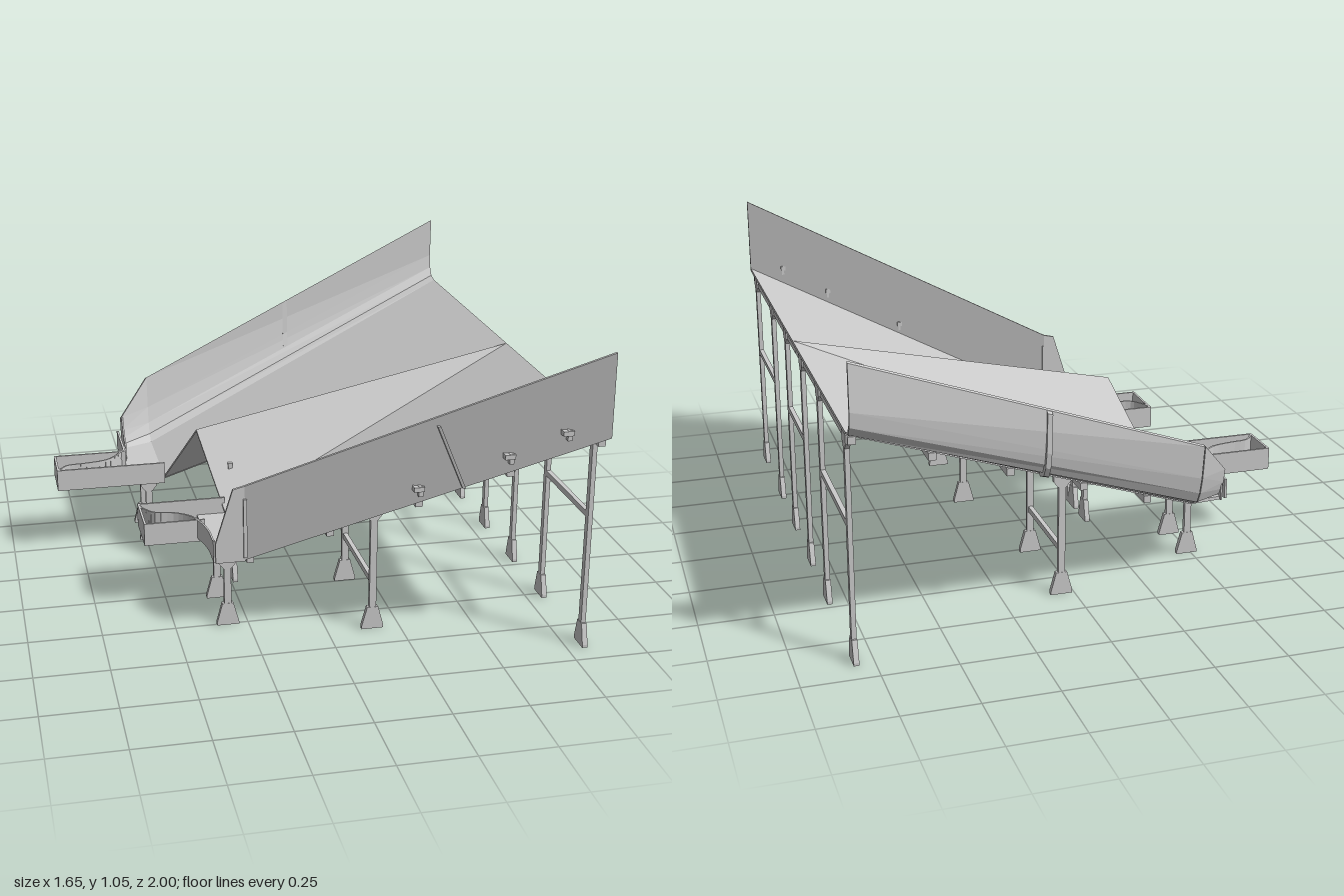
import * as THREE from 'three';

const mat = new THREE.MeshStandardMaterial({ color: 0xcccccc, flatShading: true, side: THREE.DoubleSide });

export function createModel() {
  const root = new THREE.Group();
  const add = (name, geo, parent = root) => {
    const m = new THREE.Mesh(geo, mat);
    m.name = name;
    parent.add(m);
    return m;
  };

  // Plate: polygon in space, thickened along an offset
  const plate = (name, pts, off, parent = root) => {
    let a = pts.map(p => new THREE.Vector3(...p));
    const o = new THREE.Vector3(...off);
    const n = new THREE.Vector3();
    for (let i = 1; i < a.length - 1; i++)
      n.add(a[i].clone().sub(a[0]).cross(a[i + 1].clone().sub(a[0])));
    if (n.dot(o) > 0) a.reverse();
    const b = a.map(p => p.clone().add(o));
    const v = [];
    const tri = (...t) => t.forEach(p => v.push(p.x, p.y, p.z));
    for (let i = 1; i < a.length - 1; i++) {
      tri(a[0], a[i], a[i + 1]);
      tri(b[0], b[i + 1], b[i]);
    }
    a.forEach((p, i) => {
      const j = (i + 1) % a.length;
      tri(p, b[i], b[j]);
      tri(p, b[j], a[j]);
    });
    const g = new THREE.BufferGeometry();
    g.setAttribute('position', new THREE.Float32BufferAttribute(v, 3));
    g.computeVertexNormals();
    return add(name, g, parent);
  };
  const box = (name, w, h, d, x, y, z, parent = root) => {
    const m = add(name, new THREE.BoxGeometry(w, h, d), parent);
    m.position.set(x, y, z);
    return m;
  };

  // Heights of the two sloping halves and of the central ridge
  const frontY = x => 0.275 + 0.463 * (x + 0.27);
  const backY = x => 0.78 - 0.408 * (0.82 - x);
  const ridgeY = x => 0.78 - 0.2155 * (0.82 - x);
  const frontIn = x => 0.2 * (0.82 - x) / 1.09;
  const backIn = x => -0.23 * (0.82 - x) / 1.25;
  const frontOut = x => 0.56 + 0.43 * (x + 0.27) / 1.09;
  const down = [0, -0.012, 0];

  // Sloping decks
  plate('frontDeck', [[0.82, 0.78, 0], [0.82, 0.78, 0.99], [-0.27, 0.275, 0.56], [-0.27, 0.275, 0.2]], down);
  plate('backDeck', [[0.82, 0.78, 0], [0.82, 0.78, -0.92], [-0.43, 0.27, -0.6], [-0.43, 0.27, -0.23]], down);

  // Central ridge, open underneath
  const peak = [-0.34, 0.53, 0], tip = [0.82, 0.78, 0];
  plate('frontRidgePanel', [tip, peak, [-0.27, 0.275, 0.2]], [0, -0.008, 0]);
  plate('backRidgePanel', [tip, peak, [-0.43, 0.27, -0.23]], [0, -0.008, 0]);
  for (const x of [0.3, 0.05, -0.22]) {
    for (const [zf, yf] of [[frontIn, frontY], [backIn, backY]]) {
      const t = [x, ridgeY(x) - 0.012, 0], e = [x, yf(x) - 0.012, zf(x)];
      plate('ridgeRafter', [t, e, [x + 0.025, e[1], e[2]], [x + 0.025, t[1], 0]], [0, -0.025, 0]);
    }
  }

  // Cross beams below the decks
  for (const x of [0.8, 0.54, 0.27, 0, -0.25]) {
    const zf = [frontIn(x), frontOut(x) - 0.01];
    const zb = [backIn(x), -0.645 - 0.256 * (x + 0.27)];
    for (const [y, [p, q]] of [[frontY(x), zf], [backY(x), zb]])
      box('crossBeam', 0.025, 0.025, Math.abs(q - p), x, y - 0.024, (p + q) / 2);
  }

  // Upright front wall with its cut-down low end
  plate('frontWall', [[0.82, 0.77, 0.99], [0.82, 1.05, 0.99], [-0.27, 0.53, 0.56], [-0.27, 0.265, 0.56]], [0, 0, 0.01]);
  plate('frontWallEnd', [[-0.27, 0.53, 0.56], [-0.31, 0.52, 0.56], [-0.37, 0.33, 0.56], [-0.37, 0.26, 0.56], [-0.27, 0.26, 0.56]], [0, 0, 0.01]);
  plate('wallRib', [[0.31, 0.78, 0.79], [0.32, 0.78, 0.794], [0.4, 0.575, 0.825], [0.39, 0.575, 0.821]], [0, 0, 0.022]);
  box('wallPost', 0.012, 0.21, 0.02, -0.27, 0.38, 0.568);
  for (const [x, y] of [[0.26, 0.555], [0.525, 0.685], [0.69, 0.775]]) {
    box('bracketPlate', 0.035, 0.016, 0.03, x, y + 0.008, frontOut(x) + 0.015);
    box('bracketPin', 0.015, 0.035, 0.024, x + 0.006, y, frontOut(x) + 0.014);
  }

  // Back wall: curved section swept from the high end round the low corner
  const sections = [
    [0.82, [[-0.92, 0.78], [-0.958, 0.79], [-0.98, 0.82], [-0.988, 0.87], [-0.985, 1.02]]],
    [-0.43, [[-0.6, 0.27], [-0.64, 0.29], [-0.66, 0.33], [-0.675, 0.39], [-0.69, 0.51]]],
    [-0.545, [[-0.55, 0.27], [-0.57, 0.28], [-0.58, 0.3], [-0.59, 0.33], [-0.6, 0.38]]],
  ].map(([x, p]) => p.map(([z, y]) => [x, y, z]));
  const sweep = (name, s, t, off) => {
    const g = new THREE.Group();
    g.name = name;
    root.add(g);
    for (let i = 0; i < s.length - 1; i++)
      plate(name + 'Strip', [s[i], s[i + 1], t[i + 1], t[i]], off, g);
  };
  sweep('backWall', sections[0], sections[1], [0, -0.004, -0.01]);
  sweep('backCornerWall', sections[1], sections[2], [-0.004, -0.004, -0.008]);
  const between = f => sections[0].map((p, i) => p.map((c, k) => c + (sections[1][i][k] - c) * f));
  sweep('backWallRib', between(0.52), between(0.535), [0, -0.012, -0.022]);

  // Flat landings at the low ends
  plate('frontLanding', [[-0.27, 0.272, 0.17], [-0.27, 0.272, 0.56], [-0.37, 0.272, 0.56], [-0.37, 0.272, 0.17]], down);
  plate('backLanding', [[-0.43, 0.27, -0.21], [-0.43, 0.27, -0.6], [-0.545, 0.27, -0.59], [-0.565, 0.27, -0.36], [-0.565, 0.27, -0.21]], down);

  // Outlet troughs
  const trough = (name, x0, x1, xo, z0, z1, outer) => {
    const g = new THREE.Group();
    g.name = name;
    root.add(g);
    const inner = outer === z0 ? z1 : z0, t = 0.008;
    box('troughFloor', x1 - x0, 0.012, z1 - z0, (x0 + x1) / 2, 0.256, (z0 + z1) / 2, g);
    box('troughEnd', t, 0.08, z1 - z0, x0 + t / 2, 0.29, (z0 + z1) / 2, g);
    box('troughInnerSide', x1 - x0, 0.08, t, (x0 + x1) / 2, 0.29, inner, g);
    box('troughOuterSide', xo - x0, 0.08, t, (x0 + xo) / 2, 0.29, outer, g);
  };
  trough('frontTrough', -0.58, -0.27, -0.37, 0.17, 0.35, 0.35);
  trough('backTrough', -0.83, -0.43, -0.565, -0.36, -0.21, -0.36);

  // Curved deflectors leading from the landings into the troughs
  const deflector = (name, pts, topStart) => {
    const g = new THREE.Group();
    g.name = name;
    root.add(g);
    const c = new THREE.CatmullRomCurve3(pts.map(([x, z]) => new THREE.Vector3(x, 0.26, z))).getPoints(24);
    const top = i => Math.max(0.33, topStart - 0.01 * i);
    for (let i = 0; i < 24; i++) {
      const p = c[i], q = c[i + 1];
      const n = new THREE.Vector3(q.z - p.z, 0, p.x - q.x).setLength(0.006);
      plate('deflectorStrip', [[p.x, 0.26, p.z], [q.x, 0.26, q.z], [q.x, top(i + 1), q.z], [p.x, top(i), p.z]], n.toArray(), g);
    }
  };
  deflector('frontDeflector', [[-0.37, 0.56], [-0.37, 0.45], [-0.385, 0.37], [-0.41, 0.31], [-0.46, 0.27], [-0.53, 0.25], [-0.555, 0.22], [-0.575, 0.18]], 0.34);
  deflector('backDeflector', [[-0.545, -0.6], [-0.55, -0.5], [-0.555, -0.42], [-0.585, -0.35], [-0.64, -0.29], [-0.72, -0.27], [-0.79, -0.26], [-0.825, -0.22]], 0.38);
  box('backEndWall', 0.008, 0.07, 0.23, -0.562, 0.295, -0.475);

  // Legs: flared foot, slim post and rounded head plate
  const footShape = new THREE.Shape([[-0.038, 0], [0.038, 0], [0.038, 0.01], [0.019, 0.08], [-0.019, 0.08], [-0.038, 0.01]]
    .map(p => new THREE.Vector2(...p)));
  const footGeo = new THREE.ExtrudeGeometry(footShape, { depth: 0.018, bevelEnabled: false }).translate(0, 0, -0.009);
  const headShape = new THREE.Shape([[-0.014, -0.055], [0.014, -0.055], [0.03, -0.035], [0.03, 0], [-0.03, 0], [-0.03, -0.035]]
    .map(p => new THREE.Vector2(...p)));
  const headGeo = new THREE.ExtrudeGeometry(headShape, { depth: 0.016, bevelEnabled: false }).translate(0, 0, -0.008);
  const leg = (x, z, h, turned) => {
    const g = new THREE.Group();
    g.name = 'leg';
    add('foot', footGeo, g);
    add('head', headGeo, g).position.y = h;
    box('post', 0.024, h - 0.1, 0.016, 0, (h - 0.1) / 2 + 0.07, 0, g);
    g.position.set(x, 0, z);
    if (turned) g.rotation.y = Math.PI / 2;
    root.add(g);
  };
  const legPair = (x, za, zb, h, barY, turned) => {
    leg(x, za, h, turned);
    leg(x, zb, h, turned);
    if (barY) box('legBrace', 0.016, 0.02, Math.abs(za - zb), x, barY, (za + zb) / 2);
  };
  legPair(0.81, 0.885, 0.5, 0.77, 0.465, true);
  legPair(0.81, 0.19, -0.13, 0.77, 0.465, true);
  legPair(0.81, -0.44, -0.88, 0.77, 0.465, true);
  legPair(0.155, 0.63, 0.24, 0.455, 0.175, false);
  legPair(0.045, -0.265, -0.62, 0.445, 0.165, false);
  legPair(-0.32, 0.285, 0.5, 0.265, 0, false);
  legPair(-0.485, -0.27, -0.44, 0.255, 0, false);
  legPair(-0.235, 0.075, -0.05, 0.43, 0, true);
  leg(-0.235, 0.145, 0.33, true);

  return root;
}
